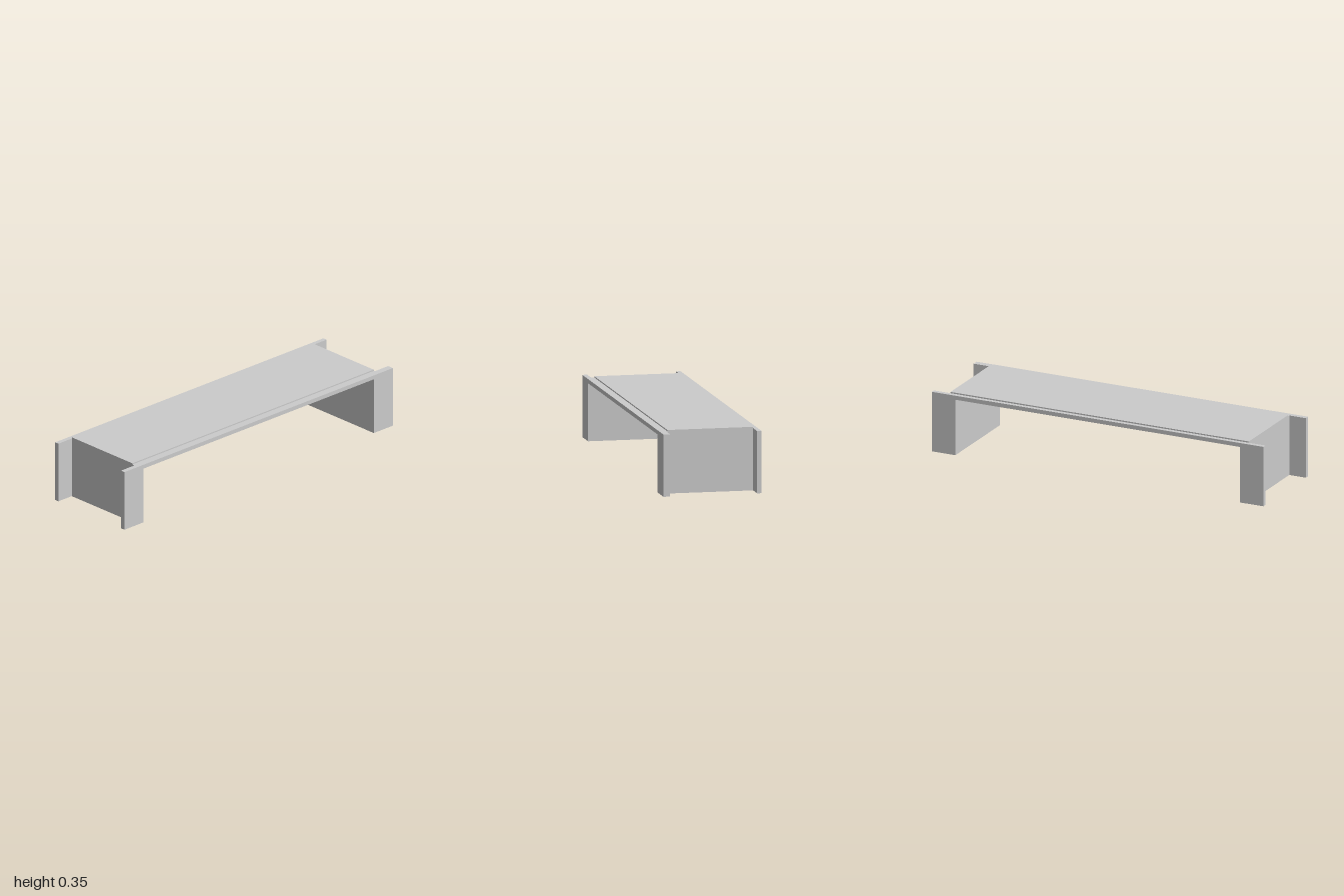
import * as THREE from 'three';

const TOP = 0.341, OPEN_X = 0.858, OPEN_Y = 0.318, WALL_X = 0.9;

export function createModel() {
  const group = new THREE.Group();
  const mat = new THREE.MeshStandardMaterial({ color: 0xcccccc, flatShading: true });
  const add = (name, geo) => {
    const mesh = new THREE.Mesh(geo, mat);
    mesh.name = name;
    group.add(mesh);
    return mesh;
  };
  const box = (name, x0, x1, y0, y1, z0, z1) =>
    add(name, new THREE.BoxGeometry(x1 - x0, y1 - y0, z1 - z0))
      .position.set((x0 + x1) / 2, (y0 + y1) / 2, (z0 + z1) / 2);

  // Upside-down U outline shared by the front and back frames
  const outline = new THREE.Shape([
    [-1, 0], [-OPEN_X, 0], [-OPEN_X, OPEN_Y], [OPEN_X, OPEN_Y],
    [OPEN_X, 0], [1, 0], [1, TOP], [-1, TOP],
  ].map(([x, y]) => new THREE.Vector2(x, y)));
  const frame = (z0, z1) =>
    new THREE.ExtrudeGeometry(outline, { depth: z1 - z0, bevelEnabled: false }).translate(0, 0, z0);

  add('backFrame', frame(-0.272, -0.247));

  // The front frame's inner face thickens slightly towards +x
  const front = frame(0.24, 0.272);
  const pos = front.attributes.position;
  for (let i = 0; i < pos.count; i++) {
    if (pos.getZ(i) < 0.25) pos.setZ(i, 0.24 - 0.005 * pos.getX(i));
  }
  front.computeVertexNormals();
  add('frontFrame', front);

  // Top board, standing just proud of the frames
  box('topBoard', -WALL_X, WALL_X, OPEN_Y, 0.348, -0.247, 0.228);
  box('topBoardFrontEdge', -WALL_X, WALL_X, OPEN_Y, TOP, 0.228, 0.25);

  // End walls between the frames
  for (const [name, side] of [['leftWall', 1], ['rightWall', -1]]) {
    const xs = [side * OPEN_X, side * WALL_X].sort((a, b) => a - b);
    box(name, xs[0], xs[1], 0, OPEN_Y, -0.247, 0.24 - 0.005 * side);
  }
  return group;
}
